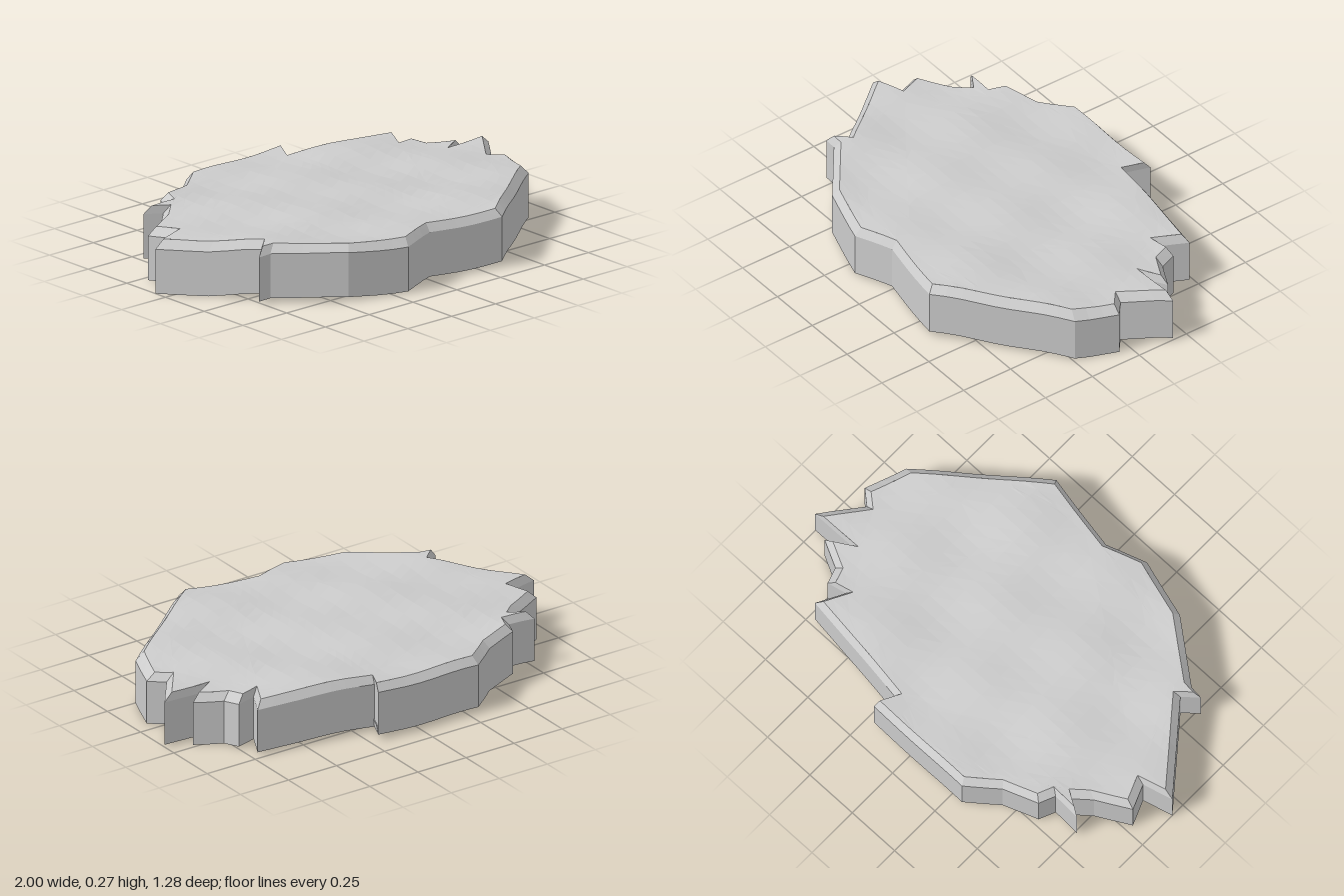
import * as THREE from 'three';

const THICKNESS = 0.2;
const INSET = 0.957;

// Jagged outline as [x, z], running from the back towards the left side
const OUTLINE = [
  [-0.31, -0.645], [0.21, -0.645], [0.165, -0.55], [0.72, -0.475], [0.655, -0.35],
  [0.745, -0.37], [0.77, -0.295], [0.89, -0.235], [0.79, -0.175], [1, -0.18],
  [0.865, 0], [0.93, 0.055], [0.86, 0.24], [0.355, 0.64], [0, 0.575],
  [-0.18, 0.64], [-0.45, 0.56], [-0.715, 0.355], [-0.775, 0.35], [-0.71, 0.29],
  [-1, -0.065], [-0.865, -0.105], [-0.91, -0.215], [-0.76, -0.3], [-0.69, -0.365],
  [-0.765, -0.41], [-0.635, -0.405], [-0.605, -0.48], [-0.445, -0.535],
];

// Gently uneven ground height
function height(x, z) {
  const waves = 0.008 * Math.sin(5 * x + 2.6) * Math.cos(6 * z)
    + 0.005 * Math.sin(13 * x - 7 * z) + 0.004 * Math.sin(17 * z + 4 * x);
  const drop = 0.018 * THREE.MathUtils.smoothstep(Math.abs(x + 0.05), 0.6, 1);
  return THREE.MathUtils.clamp(0.253 + waves - drop, 0.234, 0.266);
}
const rimHeight = (x, z) => Math.max(THICKNESS, height(x, z) - 0.036);

// Split every outline edge so the rim can follow the ground
function subdivide(points, step) {
  const out = [];
  points.forEach(([x, z], i) => {
    const [x2, z2] = points[(i + 1) % points.length];
    const n = Math.ceil(Math.hypot(x2 - x, z2 - z) / step);
    for (let k = 0; k < n; k++) out.push([x + (x2 - x) * k / n, z + (z2 - z) * k / n]);
  });
  return out;
}

// Keep the part of a convex polygon where sign * (p[axis] - limit) >= 0
function clip(poly, axis, limit, sign) {
  const out = [];
  poly.forEach((a, i) => {
    const b = poly[(i + 1) % poly.length];
    const da = sign * (a[axis] - limit), db = sign * (b[axis] - limit);
    if (da >= 0) out.push(a);
    if (da * db < 0) {
      const t = da / (da - db);
      out.push([a[0] + (b[0] - a[0]) * t, a[1] + (b[1] - a[1]) * t]);
    }
  });
  return out;
}

// Ground patches: the outline's triangles cut by a rectangular grid
function groundTriangles(outline) {
  const cellX = 0.095, cellZ = 0.06, tris = [];
  const contour = outline.map(([x, z]) => new THREE.Vector2(x, z));
  for (const face of THREE.ShapeUtils.triangulateShape(contour, [])) {
    const tri = face.map((i) => outline[i]);
    const xs = tri.map((p) => p[0]), zs = tri.map((p) => p[1]);
    for (let i = Math.floor(Math.min(...xs) / cellX); i * cellX < Math.max(...xs); i++) {
      const strip = clip(clip(tri, 0, i * cellX, 1), 0, (i + 1) * cellX, -1);
      for (let j = Math.floor(Math.min(...zs) / cellZ); j * cellZ < Math.max(...zs); j++) {
        const cell = clip(clip(strip, 1, j * cellZ, 1), 1, (j + 1) * cellZ, -1);
        for (let k = 1; k + 1 < cell.length; k++) {
          const [a, b, c] = [cell[0], cell[k], cell[k + 1]];
          const area = (b[0] - a[0]) * (c[1] - a[1]) - (b[1] - a[1]) * (c[0] - a[0]);
          if (Math.abs(area) < 1e-9) continue;
          tris.push(area < 0 ? [a, b, c] : [a, c, b]);
        }
      }
    }
  }
  return tris;
}

// Band of quads between two closed rings
function band(lower, upper) {
  const tris = [];
  lower.forEach((a, i) => {
    const j = (i + 1) % lower.length;
    tris.push([a, upper[i], upper[j]], [a, upper[j], lower[j]]);
  });
  return tris;
}

const lowered = (tris) => tris.map((t) => t.map(([x, y, z]) => [x, y - THICKNESS, z]).reverse());

export function createModel() {
  const group = new THREE.Group();
  group.name = 'groundPatch';
  const material = new THREE.MeshStandardMaterial({
    color: 0xcccccc, flatShading: true, side: THREE.DoubleSide,
  });

  const addPart = (name, tris) => {
    const geometry = new THREE.BufferGeometry();
    geometry.setAttribute('position', new THREE.Float32BufferAttribute(tris.flat(2), 3));
    geometry.computeVertexNormals();
    const mesh = new THREE.Mesh(geometry, material);
    mesh.name = name;
    group.add(mesh);
  };

  const outline = subdivide(OUTLINE, 0.08);
  const inner = outline.map(([x, z]) => [x * INSET, z * INSET]);
  const rim = outline.map(([x, z]) => [x, rimHeight(x, z), z]);
  const foot = rim.map(([x, y, z]) => [x, y - THICKNESS, z]);
  const edge = inner.map(([x, z]) => [x, height(x, z), z]);

  // Upper ground with its sloping border
  const ground = groundTriangles(inner).map((t) => t.map(([x, z]) => [x, height(x, z), z]));
  const bevel = band(rim, edge);
  addPart('topSurface', ground);
  addPart('topBevel', bevel);

  // Vertical side
  addPart('sideWall', band(foot, rim));

  // Hollow underside repeats the top, one thickness lower
  addPart('undersideSurface', lowered(ground));
  addPart('undersideBevel', lowered(bevel));
  return group;
}
